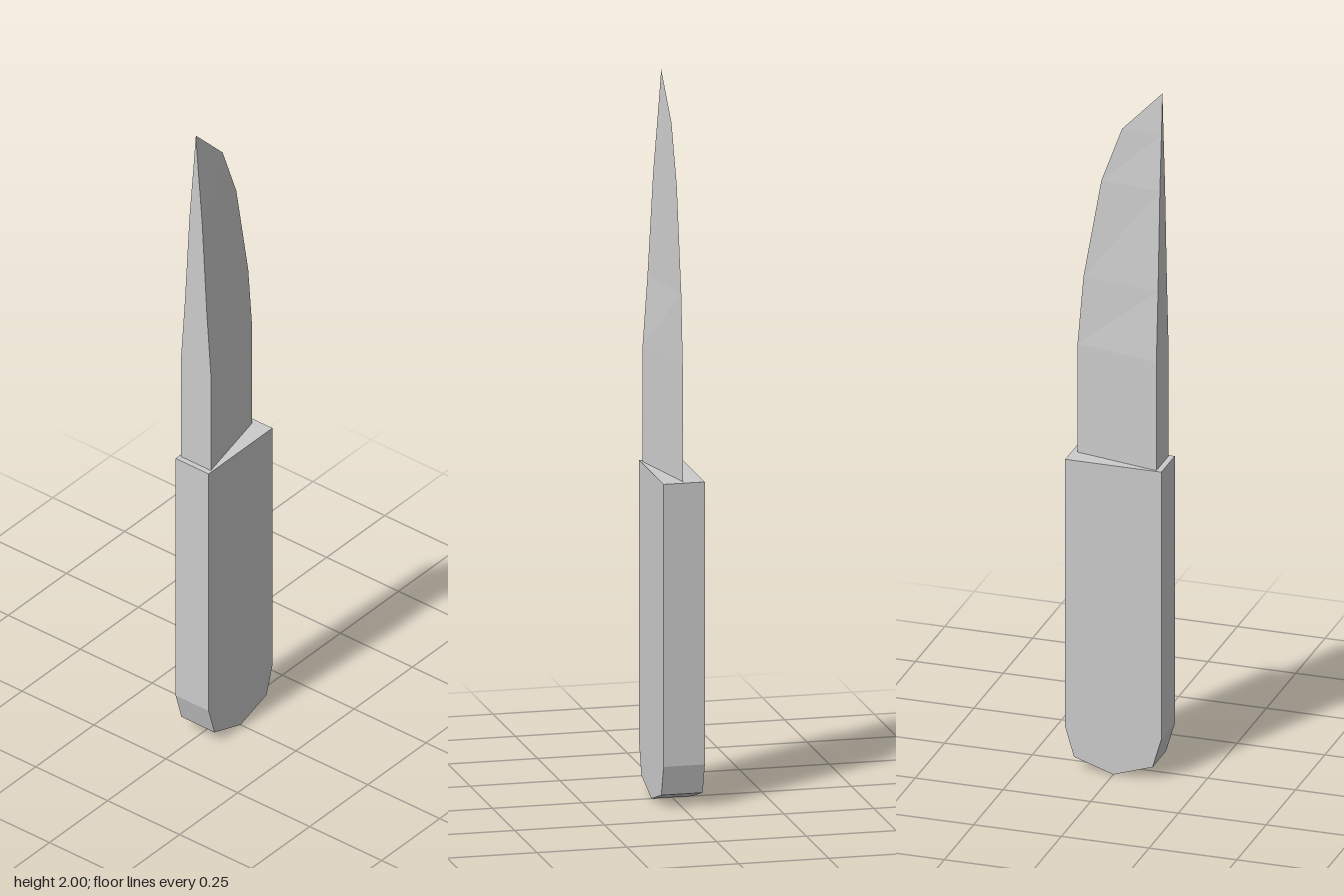
import * as THREE from 'three';

const material = new THREE.MeshStandardMaterial({ color: 0xcccccc, flatShading: true, side: THREE.DoubleSide });

// Handle: side outline with a chamfered, slightly pointed butt, extruded across x
function createHandle() {
  const width = 0.115;
  const outline = [[0, 0], [0.112, 0.037], [0.137, 0.122], [0.137, 0.91],
    [-0.137, 0.91], [-0.137, 0.122], [-0.112, 0.037]];
  const shape = new THREE.Shape(outline.map(([z, y]) => new THREE.Vector2(z, y)));
  const geometry = new THREE.ExtrudeGeometry(shape, { depth: width, bevelEnabled: false });
  geometry.translate(0, 0, -width / 2).rotateY(-Math.PI / 2);
  return new THREE.Mesh(geometry, material);
}

// Blade: triangular sections, flat spine at the front, sharp edge at the back
function createBlade() {
  const spineZ = 0.121;
  // [height, half spine width, z of cutting edge]
  const sections = [[0.91, 0.052, -0.121], [1.23, 0.052, -0.121], [1.43, 0.038, -0.104],
    [1.72, 0.022, -0.053], [1.88, 0.009, 0.006], [2.0, 0, spineZ]];
  const rings = sections.map(([y, w, edge]) => [[w, y, spineZ], [0, y, edge], [-w, y, spineZ]]);
  const positions = [];
  const triangle = (...corners) => corners.forEach((c) => positions.push(...c));

  for (let i = 0; i < rings.length - 1; i++) {
    const lower = rings[i], upper = rings[i + 1];
    for (let k = 0; k < 3; k++) {
      const n = (k + 1) % 3;
      triangle(lower[k], lower[n], upper[n]);
      // The last ring is a single point, so it needs one triangle per side
      if (i < rings.length - 2) triangle(lower[k], upper[n], upper[k]);
    }
  }
  const [right, edge, left] = rings[0];
  triangle(right, left, edge);

  const geometry = new THREE.BufferGeometry();
  geometry.setAttribute('position', new THREE.Float32BufferAttribute(positions, 3));
  geometry.computeVertexNormals();
  return new THREE.Mesh(geometry, material);
}

export function createModel() {
  const model = new THREE.Group();
  model.name = 'knife';
  const handle = createHandle();
  handle.name = 'handle';
  const blade = createBlade();
  blade.name = 'blade';
  model.add(handle, blade);
  return model;
}
